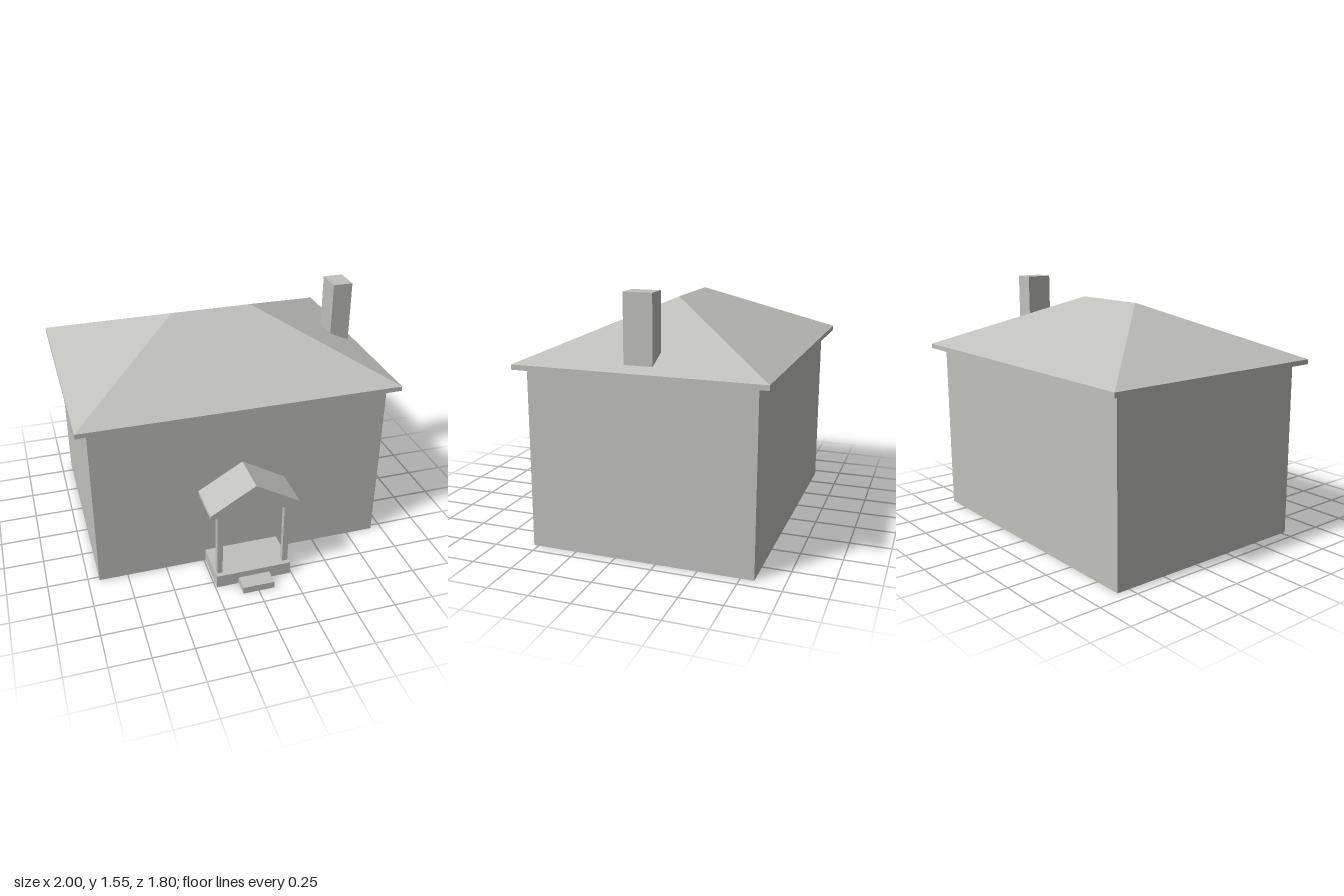
import * as THREE from 'three';

const grey = new THREE.MeshStandardMaterial({ color: 0xc0c0bd, side: THREE.DoubleSide });
grey.name = 'plain grey';

// Box given by its extents; sides are numbered +x, -x, +y, -y, +z, -z and can be left out
function box(name, [x0, x1], [y0, y1], [z0, z1], omit = []) {
  const g = new THREE.BoxGeometry(x1 - x0, y1 - y0, z1 - z0);
  g.translate((x0 + x1) / 2, (y0 + y1) / 2, (z0 + z1) / 2);
  const kept = Array.from(g.index.array).filter((_, i) => !omit.includes(Math.floor(i / 6)));
  g.setIndex(kept);
  g.clearGroups();
  return part(name, g);
}

function part(name, geometry) {
  const mesh = new THREE.Mesh(geometry, grey);
  mesh.name = name;
  return mesh;
}

// Flat-faced surface from convex polygons, corners counter-clockwise from outside
function faces(name, polygons) {
  const pos = [];
  for (const p of polygons)
    for (let i = 1; i < p.length - 1; i++) pos.push(...p[0], ...p[i], ...p[i + 1]);
  const g = new THREE.BufferGeometry();
  g.setAttribute('position', new THREE.Float32BufferAttribute(pos, 3));
  g.computeVertexNormals();
  return part(name, g);
}

const path = (pts) => pts.map(([x, y]) => new THREE.Vector2(x, y));
const rect = (x0, x1, y0, y1) => path([[x0, y0], [x1, y0], [x1, y1], [x0, y1]]);

export function createModel() {
  const house = new THREE.Group();
  house.name = 'house';

  // Walls, open underneath; the front one opens into the porch roof
  house.add(box('walls', [-0.93, 0.93], [0, 1.09], [-0.83, 0.53], [2, 3, 4]));
  const front = new THREE.Shape(rect(-0.93, 0.93, 0, 1.09));
  front.holes.push(new THREE.Path(path([[-0.28, 0.555], [0, 0.72], [0.28, 0.555]])));
  house.add(part('frontWall', new THREE.ShapeGeometry(front).translate(0, 0, 0.53)));

  // Hipped roof with a thin eave band
  const zf = 0.59, zb = -0.9, zr = -0.155, ye = 1.12, yr = 1.45;
  house.add(box('eaves', [-1, 1], [1.09, ye], [zb, zf], [2]));
  const fl = [-1, ye, zf], fr = [1, ye, zf], br = [1, ye, zb], bl = [-1, ye, zb];
  const r0 = [-0.26, yr, zr], r1 = [0.26, yr, zr];
  house.add(faces('hipRoof', [[fl, fr, r1, r0], [br, bl, r0, r1], [fr, br, r1], [bl, fl, r0]]));
  house.add(box('chimney', [0.8, 0.93], [1.14, 1.55], [-0.24, -0.07], [3]));

  // Porch
  const porch = new THREE.Group();
  porch.name = 'porch';
  house.add(porch);
  porch.add(box('platformSides', [-0.24, 0.24], [0, 0.085], [0.53, 0.8], [2, 3, 5]));
  const deck = new THREE.Shape(rect(-0.24, 0.24, -0.8, -0.53));
  for (const s of [-1, 1]) {
    const x = s * 0.213, h = 0.0175;
    deck.holes.push(new THREE.Path(rect(x - h, x + h, -0.77, -0.735).reverse()));
    porch.add(box('column', [x - h, x + h], [0.085, 0.53], [0.735, 0.77], [2, 3]));
  }
  const deckGeometry = new THREE.ShapeGeometry(deck).rotateX(-Math.PI / 2).translate(0, 0.085, 0);
  porch.add(part('platformTop', deckGeometry));
  porch.add(box('step', [-0.1, 0.1], [0, 0.045], [0.8, 0.9], [3, 5]));

  // Porch roof: gable outline swept back to the wall, open at the rear
  const gable = [[-0.28, 0.53], [0.28, 0.53], [0.28, 0.555], [0, 0.72], [-0.28, 0.555]];
  const at = (z) => gable.map(([x, y]) => [x, y, z]);
  const a = at(0.8), b = at(0.53);
  const sides = a.map((p, i) => {
    const j = (i + 1) % a.length;
    return [p, b[i], b[j], a[j]];
  });
  porch.add(faces('porchRoof', [a, ...sides]));

  return house;
}
